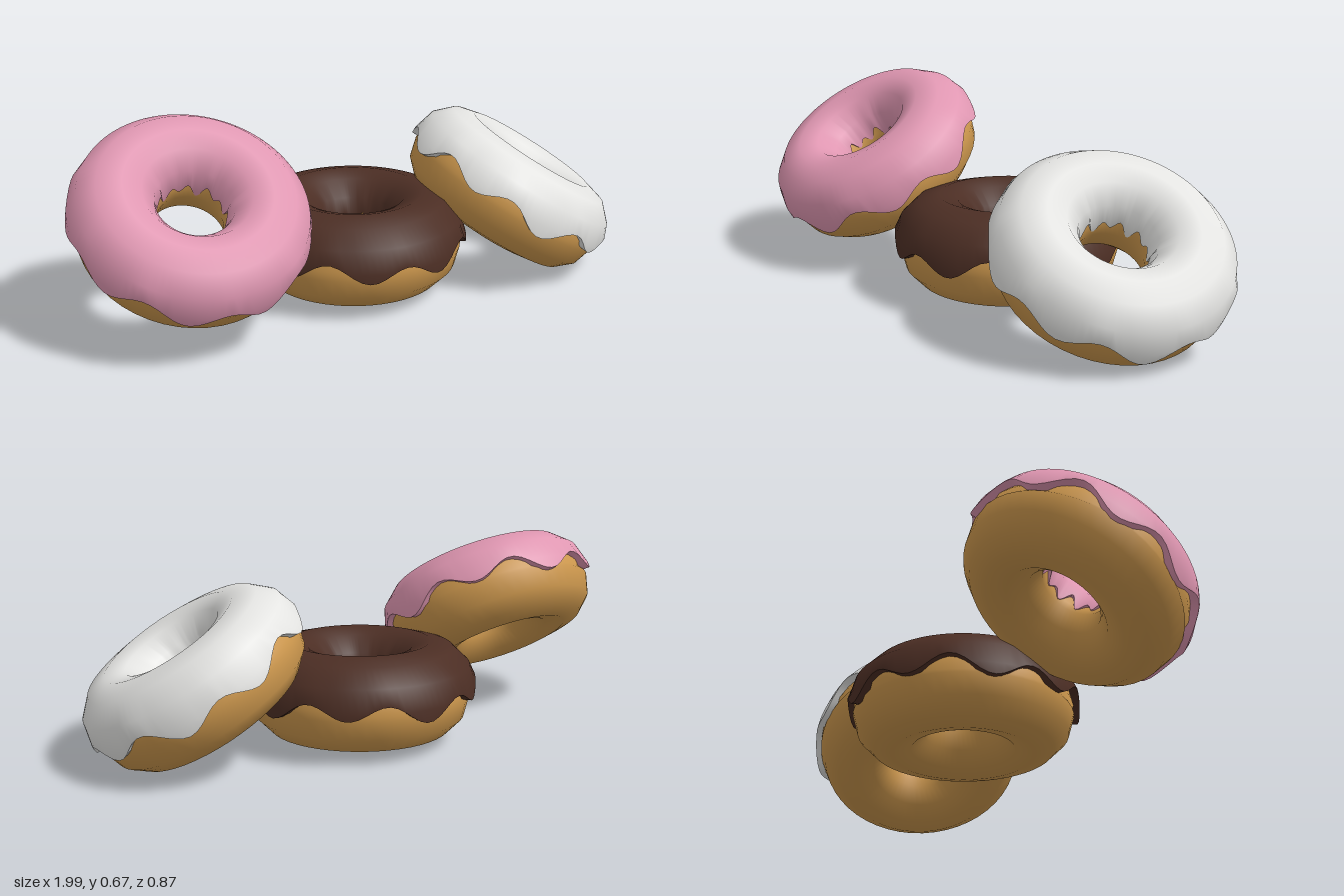
import * as THREE from 'three';
import { mergeVertices, toCreasedNormals } from 'three/addons/utils/BufferGeometryUtils.js';

const RING = 0.24; // radius of the tube's centre line
const mat = (name, color) => Object.assign(new THREE.MeshStandardMaterial({ color }), { name });

// Sweeps a profile of [radius, height] points round the y axis; the profile may vary with the angle
function sweep(profile, segments) {
  const positions = [], index = [];
  let n = 0;
  for (let i = 0; i <= segments; i++) {
    const a = ((i % segments) / segments) * Math.PI * 2;
    const points = profile(a);
    n = points.length;
    for (const [r, y] of points) positions.push(r * Math.sin(a), y, r * Math.cos(a));
  }
  for (let i = 0; i < segments; i++) {
    for (let j = 0; j < n - 1; j++) {
      const p = i * n + j, q = p + n;
      index.push(p, q, p + 1, q, q + 1, p + 1);
    }
  }
  const g = new THREE.BufferGeometry();
  g.setAttribute('position', new THREE.Float32BufferAttribute(positions, 3));
  g.setIndex(index);
  return g;
}

// Points on an arc of the tube, with separate outer, inner and vertical radii
function arc(from, to, centreY, outer, inner, height) {
  const points = [];
  for (let d = from; d <= to; d += 30) {
    const t = THREE.MathUtils.degToRad(d), c = Math.cos(t);
    points.push([RING + c * (c > 0 ? outer : inner), centreY + Math.sin(t) * height]);
  }
  return points;
}

// Two soft halves with a shallow groove between them
function doughGeometry() {
  const lower = arc(-180, 0, 0, 0.135, 0.13, 0.135);
  const upper = arc(0, 180, 0.03, 0.134, 0.122, 0.13);
  const profile = [...lower, [RING + 0.127, 0.014], ...upper, lower[0]];
  const g = mergeVertices(sweep(() => profile, 48));
  g.computeVertexNormals();
  return g;
}

// Cap of icing whose outer and inner rims hang in uneven drips
function icingGeometry(phase) {
  const centre = 0.03, outer = 0.155, inner = 0.128;
  const g = sweep((a) => {
    const rim = 0.024 - 0.028 * Math.cos(9 * (a - phase)) - 0.01 * Math.cos(4 * a + phase);
    const hole = 0.036 - 0.018 * Math.cos(12 * a + phase) - 0.01 * Math.cos(7 * a);
    const top = arc(0, 180, centre, outer, inner, 0.155);
    top[0][1] = Math.max(centre, rim + 0.004);
    top[top.length - 1][1] = Math.max(centre, hole + 0.004);
    return [
      [RING + 0.118, rim], [RING + outer, rim],
      ...top,
      [RING - inner, hole], [RING - 0.112, hole],
    ];
  }, 96);
  return toCreasedNormals(g, 0.8);
}

export function createModel() {
  const model = new THREE.Group();
  model.name = 'donuts';
  const dough = mat('dough', 0xcc974d);
  const doughShape = doughGeometry();

  // Each donut: centre, direction its top faces, icing colour and drip phase
  const donuts = [
    ['pinkDonut', [-0.605, 0.367, 0.055], [0, 0.843, 0.537], mat('pink icing', 0xe097b2), -0.35],
    ['chocolateDonut', [0.035, 0.16, -0.045], [0, 1, 0], mat('chocolate icing', 0x4c2e24), -0.33],
    ['whiteDonut', [0.612, 0.265, 0.02], [0.506, 0.848, 0.156], mat('white icing', 0xe4e4e2), 1.15],
  ];
  for (const [name, centre, up, icing, phase] of donuts) {
    const donut = new THREE.Group();
    donut.name = name;
    const base = new THREE.Mesh(doughShape, dough);
    base.name = 'doughRing';
    const cap = new THREE.Mesh(icingGeometry(phase), icing);
    cap.name = 'icing';
    donut.add(base, cap);
    donut.position.set(...centre);
    donut.quaternion.setFromUnitVectors(new THREE.Vector3(0, 1, 0), new THREE.Vector3(...up).normalize());
    model.add(donut);
  }
  return model;
}
